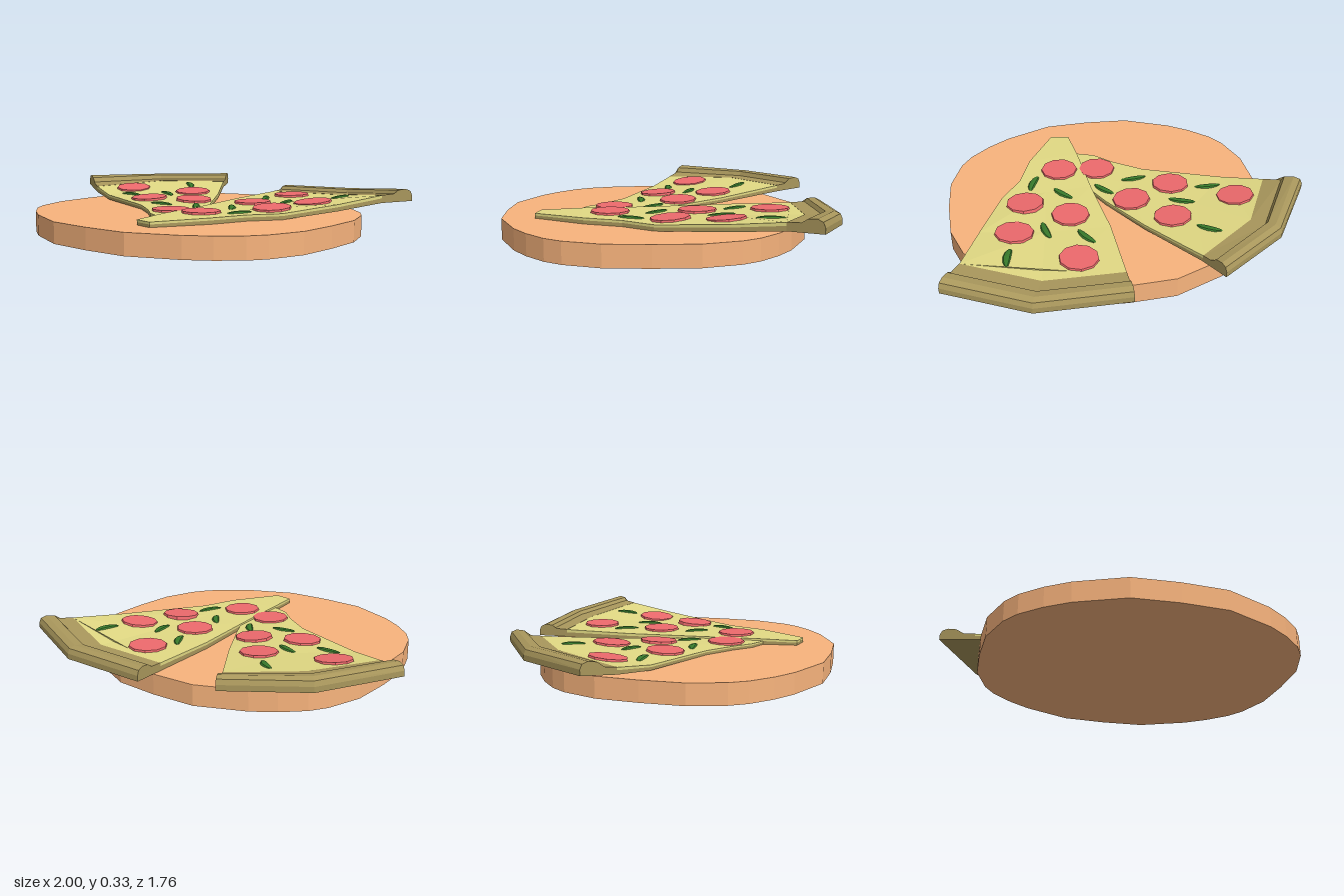
import * as THREE from 'three';

const mat = (color) => new THREE.MeshStandardMaterial({ color, flatShading: true });
const WOOD = mat(0xf8b47d), CRUST = mat(0xa9975c), CHEESE = mat(0xe2da84);
const SAUSAGE = mat(0xee6a6d), PEPPER = mat(0x387a2b);

// Closed solid through rings of [x, y, z], anticlockwise seen from the last ring
function loft(rings, material, name) {
  const pos = [], n = rings[0].length;
  const tri = (...p) => p.forEach((v) => pos.push(...v));
  for (let i = 0; i < rings.length - 1; i++) {
    for (let j = 0; j < n; j++) {
      const k = (j + 1) % n;
      const a = rings[i][j], b = rings[i][k], c = rings[i + 1][k], d = rings[i + 1][j];
      tri(a, b, c);
      tri(a, c, d);
    }
  }
  const first = rings[0], last = rings[rings.length - 1];
  for (let j = 1; j < n - 1; j++) {
    tri(first[0], first[j + 1], first[j]);
    tri(last[0], last[j], last[j + 1]);
  }
  const geo = new THREE.BufferGeometry();
  geo.setAttribute('position', new THREE.Float32BufferAttribute(pos, 3));
  geo.computeVertexNormals();
  const mesh = new THREE.Mesh(geo, material);
  mesh.name = name;
  return mesh;
}

// Oval board with a straight rim and a tapering underside
function makeBoard() {
  const quarter = [[0.875, 0], [0.865, 0.23], [0.8, 0.42], [0.74, 0.51], [0.63, 0.61], [0.51, 0.69], [0.25, 0.8], [0, 0.813]];
  const back = [...quarter, ...quarter.slice(0, -1).reverse().map(([x, z]) => [-x, z])];
  const outline = [...back.map(([x, z]) => [x, -z]), ...back.slice(1, -1).reverse()];
  const levels = [[0.3, 0.25, 0], [0.62, 0.55, 0.04], [1, 1, 0.1], [1, 1, 0.213]]; // width, depth, height
  return loft(levels.map(([w, d, y]) => outline.map(([x, z]) => [0.09 + x * w, y, 0.067 + z * d])), WOOD, 'servingBoard');
}

// Thin pepper strip, slightly bent
function pepperGeometry() {
  const geo = new THREE.SphereGeometry(1, 8, 6);
  geo.rotateZ(Math.PI / 2);
  geo.scale(0.075, 0.012, 0.021);
  const p = geo.attributes.position;
  for (let i = 0; i < p.count; i++) p.setZ(i, p.getZ(i) + 1.6 * p.getX(i) ** 2 - 0.004);
  return geo;
}

// rows: left, middle and right base points [x, z, y] from the crust to the tip
// thickness: one value per row
function makeSlice(name, { rows, outer, thickness, sausages, peppers }) {
  const slice = new THREE.Group();
  slice.name = name;
  const slab = (from, to) => rows.map((row, i) => [
    ...row.map(([x, z, y]) => [x, y + from * thickness[i], z]),
    ...row.map(([x, z, y]) => [x, y + to * thickness[i], z]).reverse(),
  ]);
  const cheese = loft(slab(0.6, 1), CHEESE, 'cheese');
  slice.add(loft(slab(0, 0.6), CRUST, 'base'), cheese);

  // Raised crust: profile of [inner to outer, height]
  const edge = thickness[0];
  const profile = [[0, 0], [1, 0], [1, 0.03], [0.94, 0.056], [0.78, 0.069], [0.54, 0.065], [0.46, edge + 0.004], [0, edge + 0.001]];
  const crust = outer.map((o, k) => profile.map(([t, h]) => {
    const [x, z, y] = rows[0][k].map((v, i) => THREE.MathUtils.lerp(v, o[i], t));
    return [x, y + h, z];
  }));
  slice.add(loft(crust, CRUST, 'crust'));

  // Toppings lie on the cheese surface
  const ray = new THREE.Raycaster();
  const place = (geo, material, label, x, z, turn) => {
    ray.set(new THREE.Vector3(x, 1, z), new THREE.Vector3(0, -1, 0));
    const [hit] = ray.intersectObject(cheese);
    const mesh = new THREE.Mesh(geo, material);
    mesh.name = label;
    mesh.position.copy(hit.point);
    mesh.quaternion.setFromUnitVectors(new THREE.Vector3(0, 1, 0), hit.face.normal);
    mesh.rotateY(turn);
    slice.add(mesh);
  };
  const disc = new THREE.CylinderGeometry(0.102, 0.106, 0.022, 10);
  const strip = pepperGeometry();
  sausages.forEach(([x, z], i) => place(disc, SAUSAGE, 'sausageSlice', x, z, i));
  peppers.forEach(([x, z, dx, dz]) => place(strip, PEPPER, 'pepperStrip', x, z, Math.atan2(-dz, dx)));
  return slice;
}

const Y = 0.213; // board top

const leftSlice = {
  thickness: [0.042, 0.036, 0.032, 0.032, 0.032, 0.03],
  rows: [
    [[0.09, -0.69, Y], [0.51, -0.7, 0.222], [0.9, -0.55, 0.26]],
    [[0.11, -0.3, Y], [0.46, -0.3, 0.218], [0.8, -0.27, 0.235]],
    [[0.165, 0.1, Y], [0.42, 0.08, Y], [0.67, 0.06, Y]],
    [[0.185, 0.3, Y], [0.37, 0.27, Y], [0.56, 0.22, Y]],
    [[0.2, 0.45, Y], [0.35, 0.44, Y], [0.49, 0.42, Y]],
    [[0.23, 0.67, 0.21], [0.28, 0.68, 0.21], [0.335, 0.69, 0.21]],
  ],
  outer: [[0.08, -0.865, Y], [0.57, -0.88, 0.225], [1, -0.71, 0.265]],
  sausages: [[0.31, -0.55], [0.62, -0.295], [0.31, -0.165], [0.545, -0.02], [0.325, 0.295]],
  peppers: [[0.25, -0.37, 0.6, 1], [0.455, -0.285, 0.2, 1], [0.665, -0.51, -0.2, 1], [0.33, 0.05, 0.8, 1], [0.485, 0.18, -0.4, 1]],
};

const rightSlice = {
  thickness: [0.036, 0.028, 0.024, 0.022, 0.022, 0.02],
  rows: [
    [[-0.81, -0.03, 0.238], [-0.62, -0.42, 0.257], [-0.3, -0.67, 0.255]],
    [[-0.6, 0.07, 0.217], [-0.38, -0.18, 0.232], [-0.07, -0.33, 0.228]],
    [[-0.16, 0.24, Y], [-0.03, 0.1, 0.217], [0.1, -0.05, Y]],
    [[0, 0.35, Y], [0.1, 0.2, Y], [0.18, 0.1, Y]],
    [[0.1, 0.44, Y], [0.18, 0.35, Y], [0.23, 0.28, Y]],
    [[0.2, 0.48, Y], [0.24, 0.46, Y], [0.27, 0.43, Y]],
  ],
  outer: [[-1, -0.14, 0.268], [-0.75, -0.55, 0.258], [-0.38, -0.82, 0.266]],
  sausages: [[-0.61, -0.155], [-0.23, -0.28], [-0.04, -0.07], [-0.285, 0.045], [0.105, 0.285]],
  peppers: [[-0.39, -0.44, 1, 0.8], [-0.31, -0.14, 1, 0.45], [-0.49, -0.015, 1, 0], [-0.09, 0.145, 1, -0.1], [0.095, 0.07, 0.8, 1]],
};

export function createModel() {
  const model = new THREE.Group();
  model.name = 'pizzaBoard';
  model.add(makeBoard(), makeSlice('leftSlice', leftSlice), makeSlice('rightSlice', rightSlice));
  return model;
}
